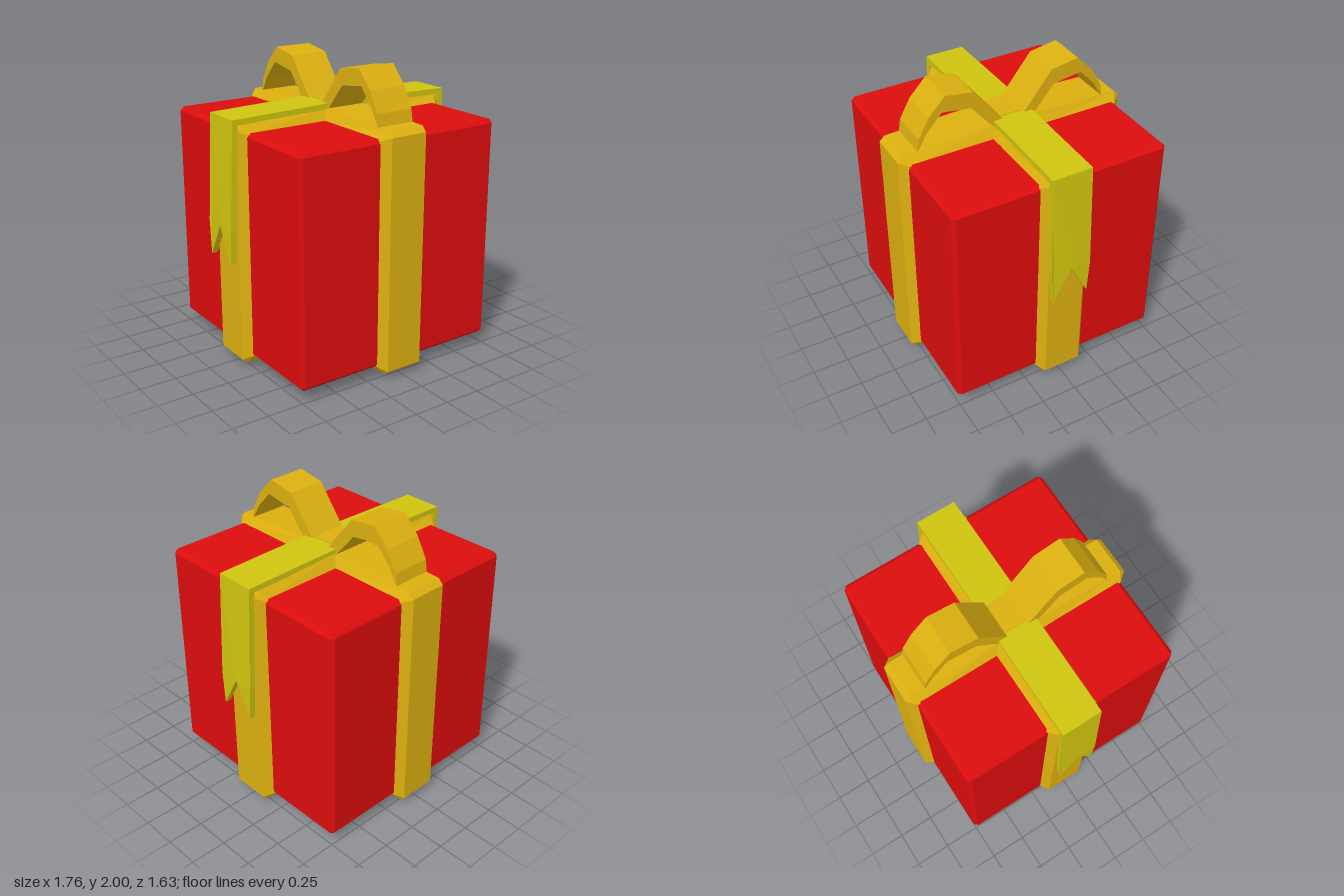
import * as THREE from 'three';
import { ConvexGeometry } from 'three/addons/geometries/ConvexGeometry.js';

const mat = (color) => new THREE.MeshStandardMaterial({ color, flatShading: true });

function add(parent, name, geometry, material) {
  const mesh = new THREE.Mesh(geometry, material);
  mesh.name = name;
  parent.add(mesh);
  return mesh;
}

// Box with every edge cut by a flat chamfer
function chamferBox(hx, hy, hz, c) {
  const pts = [];
  for (const x of [-1, 1]) for (const y of [-1, 1]) for (const z of [-1, 1]) {
    pts.push(
      new THREE.Vector3(x * hx, y * (hy - c), z * (hz - c)),
      new THREE.Vector3(x * (hx - c), y * hy, z * (hz - c)),
      new THREE.Vector3(x * (hx - c), y * (hy - c), z * hz));
  }
  return new ConvexGeometry(pts);
}

// Closed ribbon round the box in the XY plane, with sloping sides
function bandGeometry() {
  const top = [[0.815, 1.625, 1.6], [0.78, 1.66, 1.6], [0.15, 1.685, 1.6]];
  const bottom = [[0.15, 0, 0.09], [0.78, 0.03, 0.09], [0.815, 0.06, 0.09]];
  const right = [...bottom, ...top];
  const left = [...top].reverse().concat([...bottom].reverse()).map(([x, y, i]) => [-x, y, i]);
  const rings = [...right, ...left].map(([x, y, iy]) => {
    const ix = Math.sign(x) * Math.min(Math.abs(x), 0.755);
    return [[ix, iy, -0.182], [x, y, -0.132], [x, y, 0.132], [ix, iy, 0.182]];
  });
  const pos = [];
  rings.forEach((a, i) => {
    const b = rings[(i + 1) % rings.length];
    for (let k = 0; k < 3; k++) {
      pos.push(...a[k], ...b[k], ...b[k + 1], ...a[k], ...b[k + 1], ...a[k + 1]);
    }
  });
  const g = new THREE.BufferGeometry();
  g.setAttribute('position', new THREE.Float32BufferAttribute(pos, 3));
  g.computeVertexNormals();
  return g;
}

// Flat outline extruded symmetrically about z = 0
function slab(points, width) {
  const shape = new THREE.Shape(points.map(([x, y]) => new THREE.Vector2(x, y)));
  const g = new THREE.ExtrudeGeometry(shape, { depth: width, bevelEnabled: false });
  return g.translate(0, 0, -width / 2);
}

// Hanging ribbon end with a V notch, leaning outwards down to y = 1
function tailGeometry() {
  const g = slab([[-0.14, 1.7], [-0.14, 0.985], [-0.125, 0.755], [0, 0.985],
    [0.125, 0.755], [0.14, 0.985], [0.14, 1.7]], 0.04);
  g.rotateY(Math.PI / 2);
  const p = g.attributes.position;
  for (let i = 0; i < p.count; i++) {
    p.setX(i, p.getX(i) + 0.825 + 0.035 * Math.min(1, (1.7 - p.getY(i)) / 0.7));
  }
  g.computeVertexNormals();
  return g;
}

export function createModel() {
  const model = new THREE.Group();
  model.name = 'giftBox';
  const red = mat(0xdd0d0d), gold = mat(0xdcb010), lime = mat(0xcfc40e);

  // Box
  add(model, 'box', chamferBox(0.76, 0.765, 0.76, 0.025), red).position.y = 0.845;

  // Crossing bands
  add(model, 'sideBand', bandGeometry(), gold).position.z = -0.008;
  add(model, 'frontBand', bandGeometry(), gold).rotation.y = Math.PI / 2;

  // Loose ribbon over the top with its two hanging ends
  const loose = new THREE.Group();
  loose.name = 'looseRibbon';
  model.add(loose);
  add(loose, 'topStrip', slab([[-0.845, 1.7], [-0.81, 1.663], [0, 1.68], [0.81, 1.663],
    [0.845, 1.7], [0.14, 1.715], [-0.14, 1.715]], 0.28), lime);
  for (const [name, turn] of [['leftTail', 0], ['rightTail', Math.PI]]) {
    add(loose, name, tailGeometry(), lime).rotation.y = turn;
  }

  // Bow: two arched loops and the flat piece joining them
  const bow = new THREE.Group();
  bow.name = 'bow';
  model.add(bow);
  const arch = [[0.06, 1.69], [0.14, 1.67], [0.3, 1.86], [0.5, 1.89], [0.61, 1.77], [0.68, 1.65],
    [0.665, 1.745], [0.59, 1.88], [0.475, 2], [0.28, 1.968]];
  for (const [name, turn] of [['frontLoop', -Math.PI / 2], ['backLoop', Math.PI / 2]]) {
    add(bow, name, slab(arch, 0.27), gold).rotation.y = turn;
  }
  add(bow, 'bowCentre', new THREE.BoxGeometry(0.22, 0.04, 0.16), gold).position.y = 1.7;

  return model;
}
